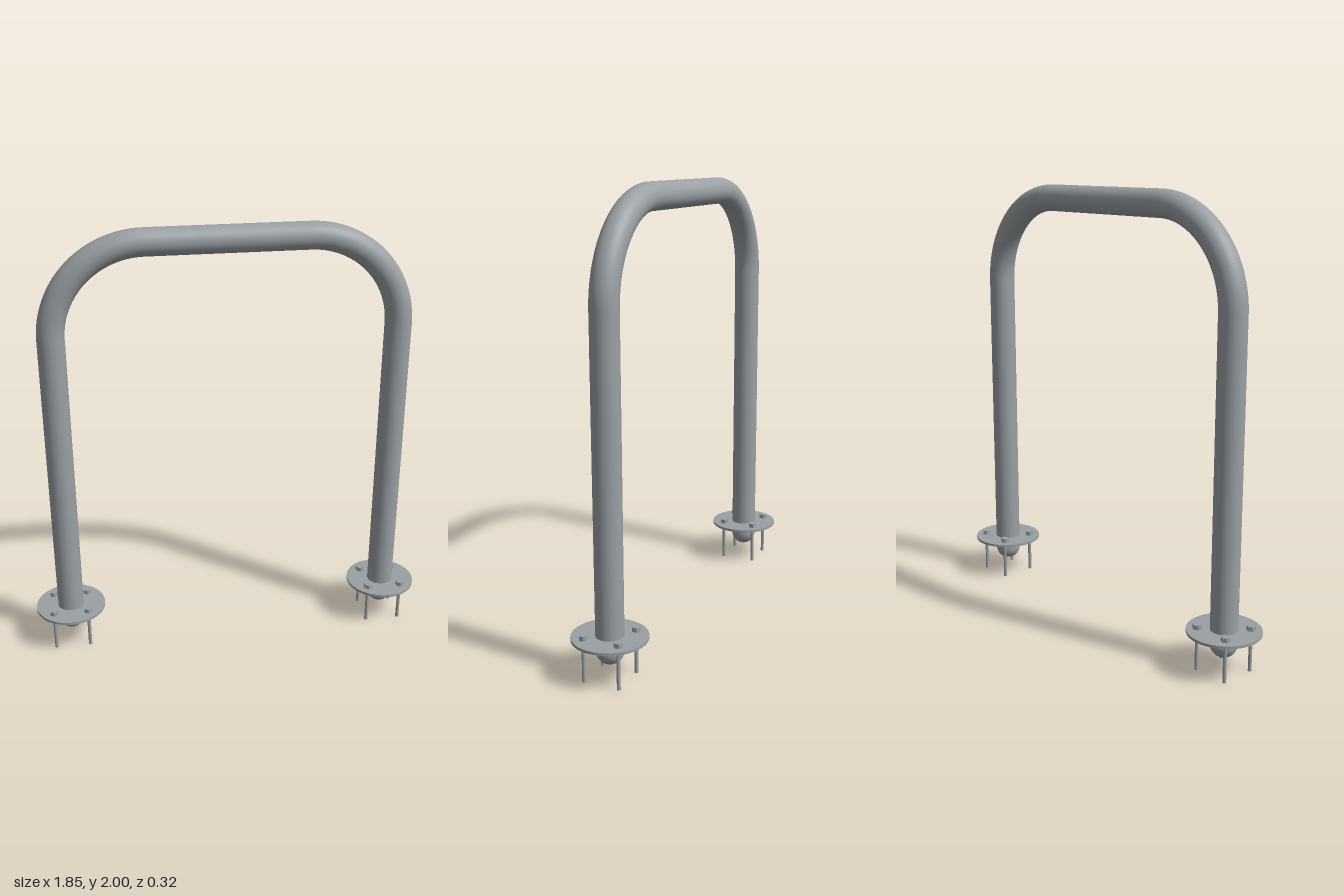
import * as THREE from 'three';

export function createModel() {
  const model = new THREE.Group();
  const steel = new THREE.MeshStandardMaterial({ color: 0x9aa0a3 });
  steel.name = 'galvanised steel';

  const R = 0.06, BEND = 0.41, LEG_X = 0.763, TOP_Y = 1.94;
  const bendX = LEG_X - BEND, bendY = TOP_Y - BEND, legBottom = 0.124;
  const plateY = 0.182;

  const add = (parent, name, geometry, x, y, z) => {
    const mesh = new THREE.Mesh(geometry, steel);
    mesh.name = name;
    mesh.position.set(x, y, z);
    parent.add(mesh);
    return mesh;
  };

  // Horizontal top rail
  const rail = new THREE.CylinderGeometry(R, R, bendX * 2, 40, 1, true).rotateZ(Math.PI / 2);
  add(model, 'topRail', rail, 0, TOP_Y, 0);

  for (const side of [-1, 1]) {
    const label = side > 0 ? 'left' : 'right';

    // Quarter bend between rail and leg
    const bend = new THREE.TorusGeometry(BEND, R, 40, 32, Math.PI / 2);
    if (side < 0) bend.rotateZ(Math.PI / 2);
    add(model, label + 'Bend', bend, side * bendX, bendY, 0);

    // Straight leg with a rounded end cap
    const legLength = bendY - legBottom;
    const leg = new THREE.CylinderGeometry(R, R, legLength, 40, 1, true);
    add(model, label + 'Leg', leg, side * LEG_X, legBottom + legLength / 2, 0);
    const cap = new THREE.SphereGeometry(R, 40, 14, 0, Math.PI * 2, Math.PI / 2, Math.PI / 2);
    add(model, label + 'EndCap', cap, side * LEG_X, legBottom, 0);

    // Round base flange with four anchor bolts
    const base = new THREE.Group();
    base.name = label + 'Base';
    base.position.x = side * LEG_X;
    model.add(base);
    add(base, 'flange', new THREE.CylinderGeometry(0.162, 0.162, 0.012, 64), 0, plateY, 0);
    for (const x of [-0.08, 0.08]) {
      for (const z of [-0.08, 0.08]) {
        add(base, 'boltShank', new THREE.CylinderGeometry(0.008, 0.008, 0.19, 16), x, 0.095, z);
        const head = new THREE.CylinderGeometry(0.02, 0.02, 0.02, 6).toNonIndexed();
        head.computeVertexNormals();
        add(base, 'boltHead', head, x, plateY + 0.016, z);
      }
    }
  }
  return model;
}
